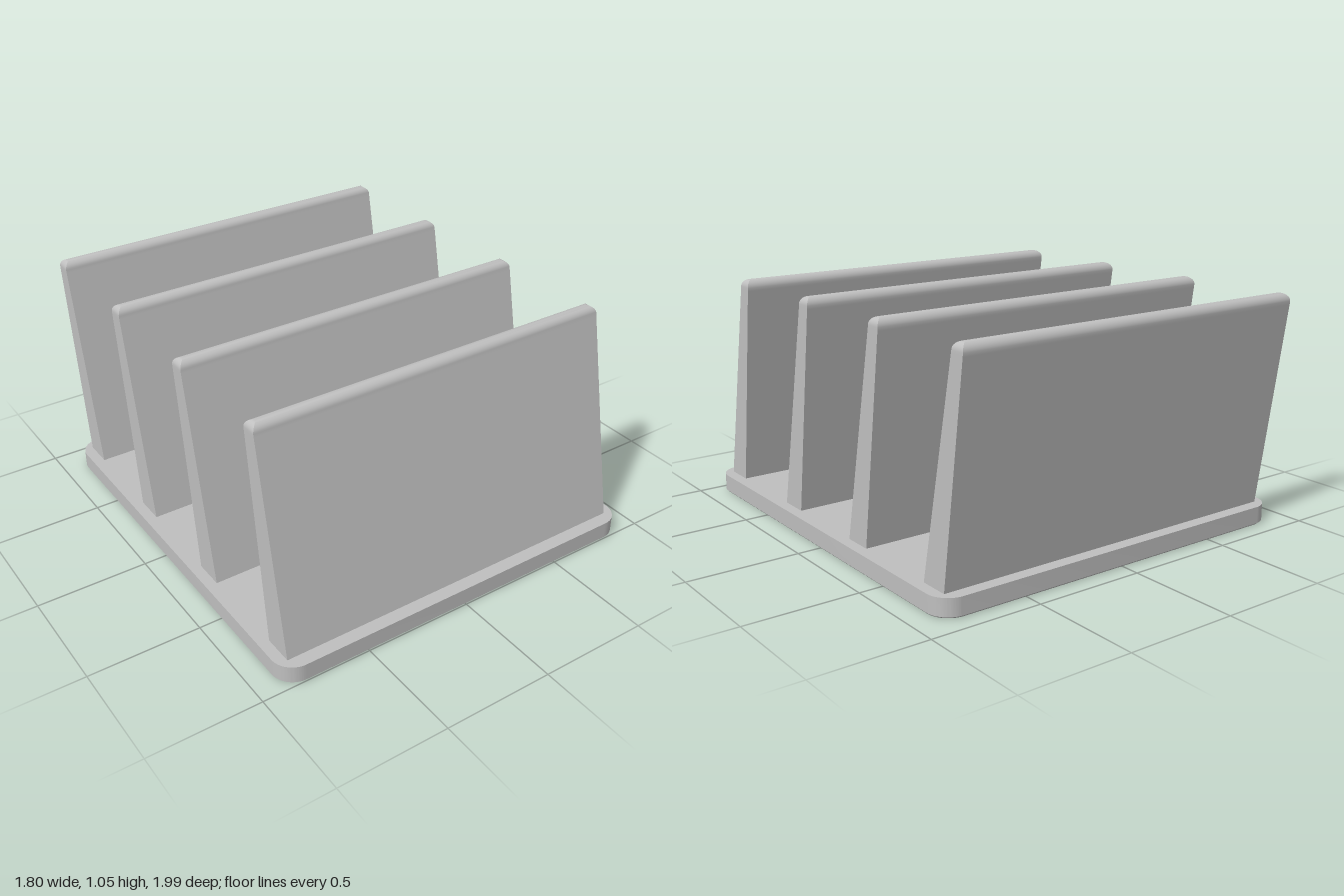
import * as THREE from 'three';
import { toCreasedNormals } from 'three/addons/utils/BufferGeometryUtils.js';

const BASE_H = 0.085, PITCH = 0.556;

// Rounded plate with drain holes and a fine chamfer on its lower rim
function baseGeometry() {
  const w = 0.9, d = 0.96, r = 0.1, chamfer = 0.008;
  const shape = new THREE.Shape();
  shape.moveTo(-w + r, -d);
  shape.absarc(w - r, -d + r, r, -Math.PI / 2, 0, false);
  shape.absarc(w - r, d - r, r, 0, Math.PI / 2, false);
  shape.absarc(-w + r, d - r, r, Math.PI / 2, Math.PI, false);
  shape.absarc(-w + r, -d + r, r, Math.PI, Math.PI * 1.5, false);
  shape.closePath();
  for (let row = -1; row <= 1; row++) {
    for (let col = 0; col < 4; col++) {
      const hole = new THREE.Path();
      hole.absarc((col - 1.5) * 0.349, 0.032 + row * PITCH * 1.003, 0.045, 0, Math.PI * 2, true);
      shape.holes.push(hole);
    }
  }
  const geo = new THREE.ExtrudeGeometry(shape, { depth: BASE_H, steps: 2, bevelEnabled: false, curveSegments: 16 });
  const p = geo.attributes.position;
  for (let i = 0; i < p.count; i++) {
    const x = p.getX(i), y = p.getY(i), z = p.getZ(i);
    const outer = Math.abs(x) > 0.7 || Math.abs(y) > 0.75;
    if (z < 0.001 && outer) p.setXY(i, x * (1 - chamfer / w), y * (1 - chamfer / d));
    else if (z > 0.001 && z < BASE_H - 0.001) p.setZ(i, chamfer);
  }
  geo.rotateX(-Math.PI / 2);
  geo.translate(0, 0, 0.04);
  return toCreasedNormals(geo, 0.5);
}

// Leaning, tapered divider lofted from rectangles, rounded along its top edges
function dividerGeometry() {
  const half = 0.85, r = 0.035, yc = 1.02;
  const levels = []; // [y, zFront, zBack, halfWidth]
  for (const t of [0, 0.985, 1]) {
    levels.push([
      THREE.MathUtils.lerp(BASE_H - 0.002, yc, t),
      THREE.MathUtils.lerp(0.94, 0.745, t),
      THREE.MathUtils.lerp(0.805, 0.675, t),
      half,
    ]);
  }
  for (let i = 1; i <= 8; i++) {
    const a = (i / 8) * Math.PI / 2, c = r * Math.cos(a);
    levels.push([yc + r * Math.sin(a), 0.71 + c, 0.71 - c, half - r + c]);
  }
  const pos = [], idx = [];
  for (const [y, zf, zb, x] of levels) pos.push(-x, y, zf, x, y, zf, x, y, zb, -x, y, zb);
  for (let l = 0; l < levels.length - 1; l++) {
    for (let s = 0; s < 4; s++) {
      const a = l * 4 + s, b = l * 4 + (s + 1) % 4;
      idx.push(a, b, b + 4, a, b + 4, a + 4);
    }
  }
  idx.push(0, 2, 1, 0, 3, 2);
  const geo = new THREE.BufferGeometry();
  geo.setAttribute('position', new THREE.Float32BufferAttribute(pos, 3));
  geo.setIndex(idx);
  return toCreasedNormals(geo, 0.5);
}

export function createModel() {
  const group = new THREE.Group();
  group.name = 'slottedRack';
  const grey = new THREE.MeshStandardMaterial({ color: 0xbfbfbf });
  grey.name = 'lightGrey';

  const base = new THREE.Mesh(baseGeometry(), grey);
  base.name = 'basePlate';
  group.add(base);

  // Four identical dividers, evenly spaced from front to back
  const divider = dividerGeometry();
  for (let i = 0; i < 4; i++) {
    const mesh = new THREE.Mesh(divider, grey);
    mesh.name = `divider${i + 1}`;
    mesh.position.z = -i * PITCH;
    group.add(mesh);
  }
  return group;
}
